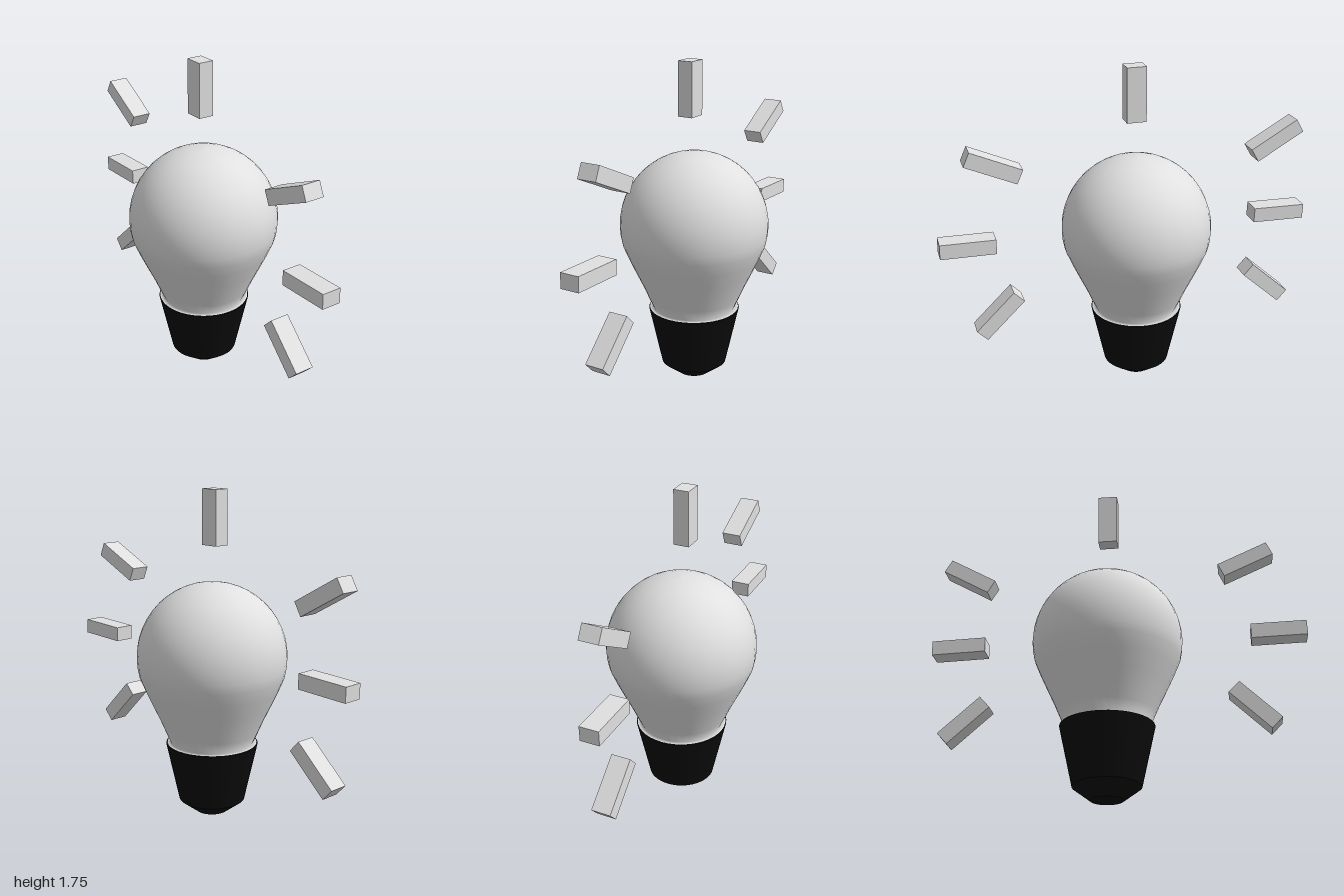
import * as THREE from 'three';

const glassMat = new THREE.MeshStandardMaterial({ name: 'paleGrey', color: 0xe0e0e0 });
const baseMat = new THREE.MeshStandardMaterial({ name: 'black', color: 0x0b0b0b });

const AXIS_Z = -0.05; // the bulb stands slightly behind the centre

function add(group, name, geometry, material, x, y, z) {
  const mesh = new THREE.Mesh(geometry, material);
  mesh.name = name;
  mesh.position.set(x, y, z);
  group.add(mesh);
  return mesh;
}

// Smooth glass: flared foot, tapering neck, round crown
function glassGeometry() {
  const points = [[0.243, 0.391], [0.222, 0.393], [0.25, 0.455], [0.28, 0.525], [0.318, 0.605], [0.357, 0.69]]
    .map(([r, y]) => new THREE.Vector2(r, y));
  const steps = 14;
  for (let i = 0; i <= steps; i++) {
    const a = THREE.MathUtils.lerp(-0.26, Math.PI / 2, i / steps);
    points.push(new THREE.Vector2(i === steps ? 0 : 0.4 * Math.cos(a), 0.864 + 0.4 * Math.sin(a)));
  }
  return new THREE.LatheGeometry(points, 40);
}

export function createModel() {
  const model = new THREE.Group();
  model.name = 'lightBulb';

  add(model, 'glass', glassGeometry(), glassMat, 0, 0, AXIS_Z);

  // Base: tapered socket, chamfered tip
  add(model, 'socket', new THREE.CylinderGeometry(0.248, 0.178, 0.318, 40), baseMat, 0, 0.229, AXIS_Z);
  add(model, 'tip', new THREE.CylinderGeometry(0.178, 0.085, 0.07, 40), baseMat, 0, 0.035, AXIS_Z);

  // Light rays: one above, three in front and three behind
  const rays = new THREE.Group();
  rays.name = 'rays';
  model.add(rays);
  add(rays, 'topRay', new THREE.BoxGeometry(0.083, 0.29, 0.104), glassMat, -0.022, 1.6, AXIS_Z + 0.005);

  const rayGeometry = new THREE.BoxGeometry(0.105, 0.08, 0.29);
  const placements = [ // name, x, y, z, tilt in degrees
    ['frontUpperRay', -0.017, 1.293, 0.703, -24.2],
    ['frontMiddleRay', -0.017, 0.868, 0.855, -1.3],
    ['frontLowerRay', -0.017, 0.455, 0.71, 44.3],
    ['backUpperRay', 0.008, 1.293, -0.819, 29.9],
    ['backMiddleRay', 0.008, 0.866, -0.854, -1.8],
    ['backLowerRay', 0.008, 0.441, -0.8, -42],
  ];
  for (const [name, x, y, z, tilt] of placements) {
    add(rays, name, rayGeometry, glassMat, x, y, z).rotation.x = THREE.MathUtils.degToRad(tilt);
  }
  return model;
}
